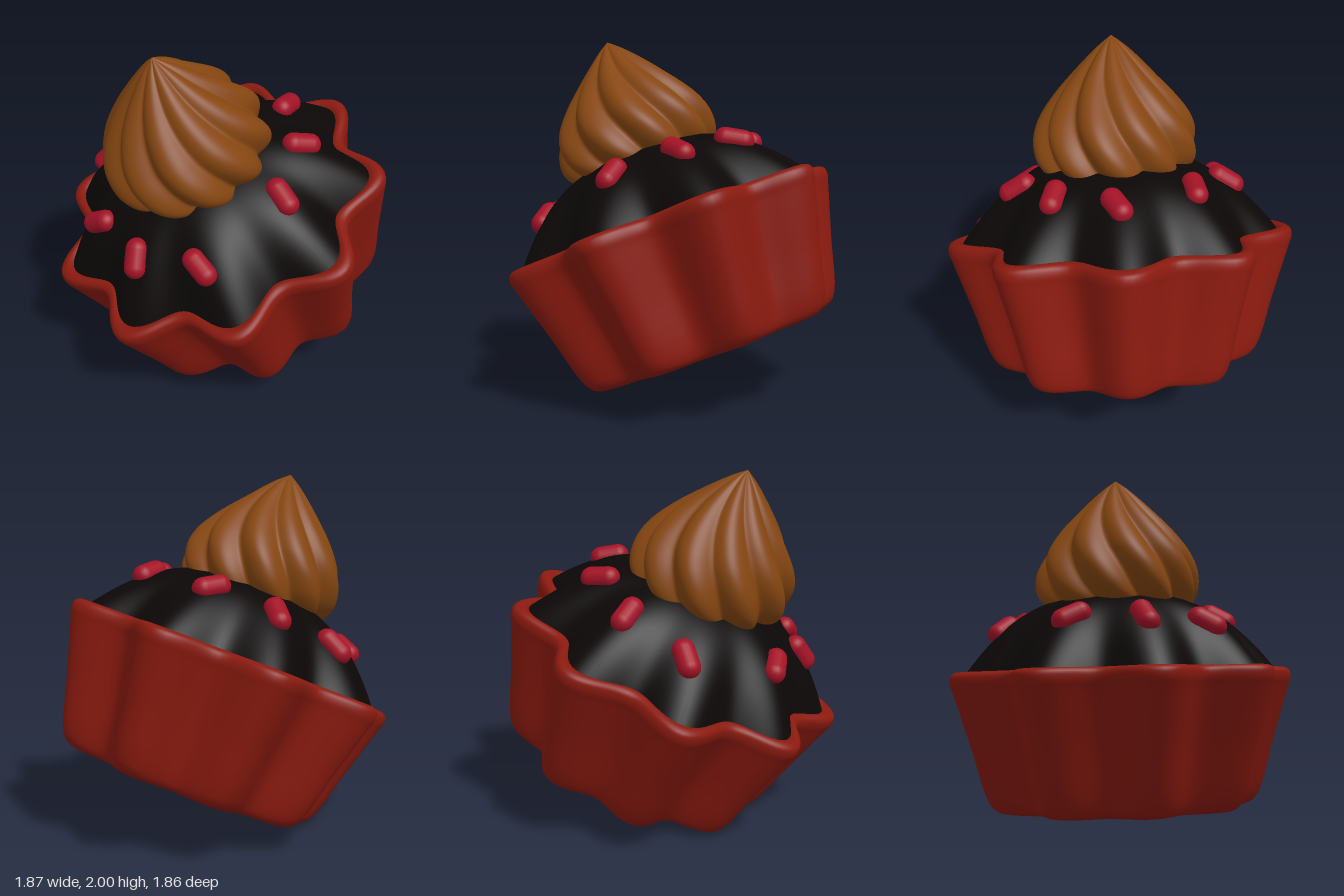
import * as THREE from 'three';

const LOBES = 9;
const PHASE = THREE.MathUtils.degToRad(-4);
const UP = new THREE.Vector3(0, 1, 0);
const lobe = (a) => Math.cos(LOBES * (a - PHASE));

// Closed-around surface: point(t, angle) returns [radius, height, angle]; t runs 0..1
function ringSurface(point, rows, cols) {
  const pos = [], index = [];
  for (let j = 0; j <= rows; j++) {
    for (let i = 0; i < cols; i++) {
      const [r, y, a] = point(j / rows, (i / cols) * Math.PI * 2);
      pos.push(r * Math.cos(a), y, r * Math.sin(a));
      if (j === rows) continue;
      const n = (i + 1) % cols, p = j * cols + i, q = j * cols + n;
      index.push(p, p + cols, q, q, p + cols, q + cols);
    }
  }
  const g = new THREE.BufferGeometry();
  g.setAttribute('position', new THREE.Float32BufferAttribute(pos, 3));
  g.setIndex(index);
  g.computeVertexNormals();
  return g;
}

function part(name, geometry, color) {
  const m = new THREE.Mesh(geometry, new THREE.MeshStandardMaterial({ color, side: THREE.DoubleSide }));
  m.name = name;
  return m;
}

const curve = (pts) => new THREE.CatmullRomCurve3(pts.map((p) => new THREE.Vector3(...p)));

// Frosting dome: u = 1 at the rim, 0 at the middle
const domeRadius = (u, a) => u * (0.852 + 0.075 * u * u * lobe(a));
const domeHeight = (u) => 0.485 * (1 - Math.pow(u, 3.1)) - 0.03;
function domePoint(r, a) {
  let u = r / 0.852;
  for (let k = 0; k < 6; k++) u = r / (0.852 + 0.075 * u * u * lobe(a));
  return new THREE.Vector3(r * Math.cos(a), domeHeight(u), r * Math.sin(a));
}

export function createModel() {
  const model = new THREE.Group();
  model.name = 'cupcake';

  // Whole cake leans; local origin is the middle of the rim
  const cake = new THREE.Group();
  cake.name = 'tiltedCake';
  cake.position.set(-0.008, 0.955, 0.008);
  cake.quaternion.setFromUnitVectors(UP, new THREE.Vector3(-0.29, 1, 0.32).normalize());
  model.add(cake);

  // Fluted cup: [mean radius, height, flute depth]
  const cupProfile = curve([
    [0, -0.75, 0], [0.4, -0.75, 0.02], [0.61, -0.75, 0.04], [0.675, -0.732, 0.055],
    [0.712, -0.68, 0.065], [0.793, -0.38, 0.078], [0.878, -0.09, 0.085], [0.896, -0.03, 0.085],
    [0.888, 0.01, 0.085], [0.85, 0.028, 0.083], [0.81, 0.01, 0.08], [0.795, -0.03, 0.08],
    [0.78, -0.14, 0.08],
  ]);
  const cup = ringSurface((t, a) => {
    const p = cupProfile.getPoint(t);
    return [p.x + p.z * lobe(a), p.y, a];
  }, 60, 180);
  cake.add(part('flutedCup', cup, 0x8a1a0f));

  // Chocolate frosting
  const dome = ringSurface((t, a) => [domeRadius(1 - t, a), domeHeight(1 - t), a], 36, 180);
  cake.add(part('chocolateFrosting', dome, 0x0c0707));

  // Piped cream with twisted ridges, measured down from its tip and a little more upright
  const creamProfile = curve([
    [0.2, -0.77, 0], [0.4, -0.755, 0], [0.46, -0.68, 0], [0.47, -0.57, 0], [0.435, -0.46, 0],
    [0.35, -0.335, 0], [0.232, -0.205, 0], [0.08, -0.06, 0], [0, 0, 0],
  ]);
  const creamGeometry = ringSurface((t, a) => {
    const p = creamProfile.getPoint(t);
    const ridge = 0.83 + 0.16 * Math.sqrt(Math.cos(5 * a) ** 2 + 0.02);
    return [p.x * ridge, p.y, a - 1.15 * Math.pow(1 - t, 1.3)];
  }, 60, 200);
  const cream = part('creamSwirl', creamGeometry, 0x854611);
  cream.position.set(-0.28, 2, 0.31);
  cream.quaternion.setFromUnitVectors(UP, new THREE.Vector3(-0.235, 1, 0.26).normalize());
  model.add(cream);

  // Sprinkles: [x, y, z, direction x, direction z], laid on the frosting
  const sprinkles = [
    [-0.43, 1.31, -0.41, 0.1, 0.14], [-0.08, 1.43, -0.46, 0.1, -0.13], [0.35, 1.46, -0.29, 0.05, -0.15],
    [0.47, 1.42, 0.05, 0.13, -0.07], [0.41, 1.29, 0.39, 0.1, 0.09], [0.02, 1.04, 0.71, 0.11, 0.08],
    [-0.34, 1.0, 0.63, 0, 1], [-0.6, 1.0, 0.35, 0.09, 0.05], [-0.67, 1.1, -0.18, 0.13, -0.01],
  ];
  const capsule = new THREE.CapsuleGeometry(0.061, 0.1, 8, 18);
  const inverse = cake.quaternion.clone().invert();
  for (const [x, y, z, dx, dz] of sprinkles) {
    const p = new THREE.Vector3(x, y, z).sub(cake.position).applyQuaternion(inverse);
    const r = Math.hypot(p.x, p.z), a = Math.atan2(p.z, p.x);
    const slope = domePoint(r - 0.02, a).sub(domePoint(r + 0.02, a));
    const across = domePoint(r, a + 0.02).sub(domePoint(r, a - 0.02));
    const n = slope.cross(across).normalize().applyQuaternion(cake.quaternion);
    const dir = new THREE.Vector3(dx, -(n.x * dx + n.z * dz) / n.y, dz).normalize().applyQuaternion(inverse);
    const s = part('sprinkle', capsule, 0xa31226);
    s.position.copy(domePoint(r, a));
    s.quaternion.setFromUnitVectors(UP, dir);
    cake.add(s);
  }
  return model;
}
